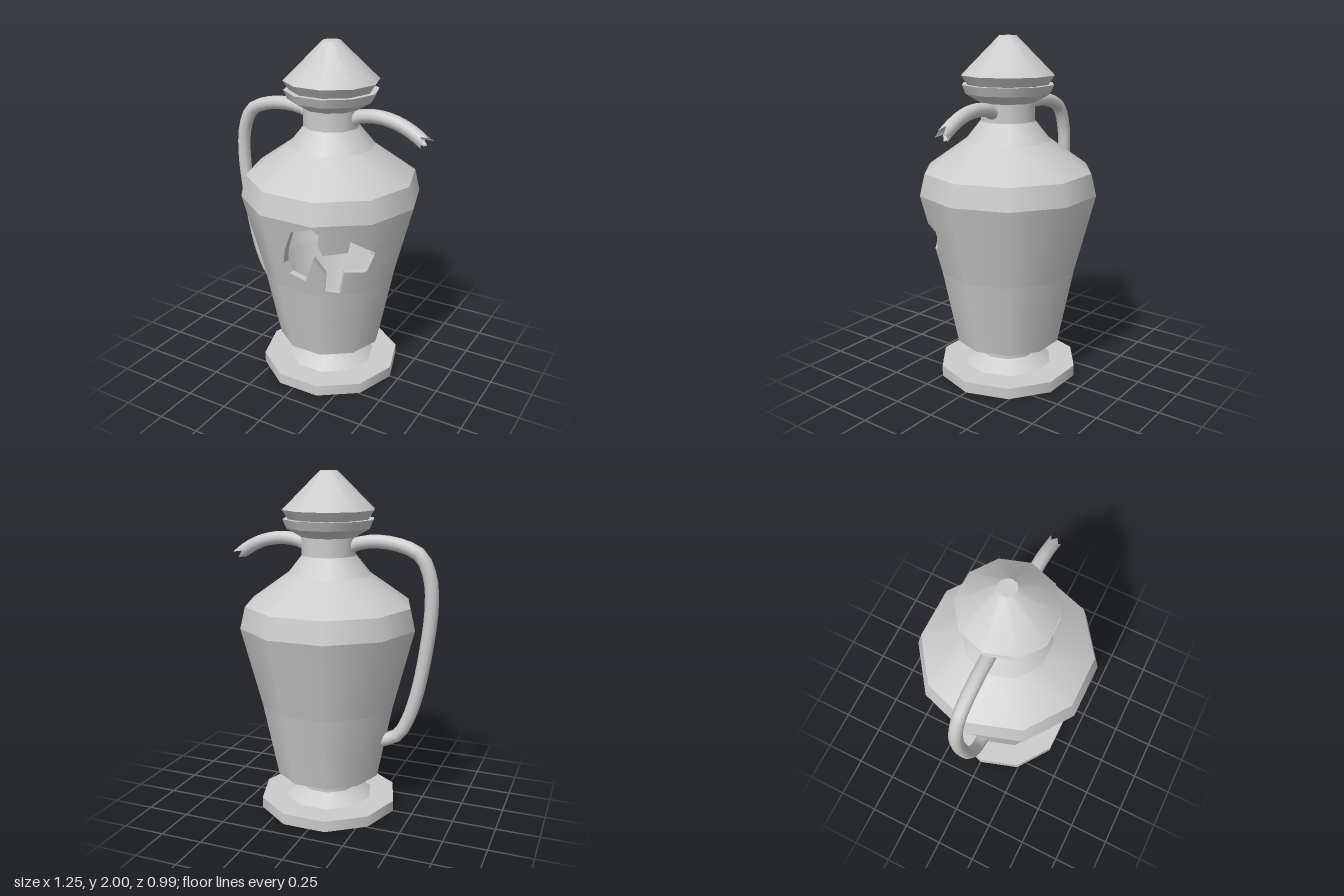
import * as THREE from 'three';
import { mergeGeometries } from 'three/addons/utils/BufferGeometryUtils.js';

const SIDES = 10;
const material = new THREE.MeshStandardMaterial({ color: 0xcccccc });
const openMaterial = new THREE.MeshStandardMaterial({ color: 0xcccccc, side: THREE.DoubleSide });

// Ten-sided turned part: smooth around, with a crease at each profile point
function turned(name, profile) {
  const bands = [];
  for (let i = 0; i + 1 < profile.length; i++) {
    const pair = [profile[i], profile[i + 1]].map(([r, y]) => new THREE.Vector2(r, y));
    bands.push(new THREE.LatheGeometry(pair, SIDES, Math.PI / 2));
  }
  const mesh = new THREE.Mesh(mergeGeometries(bands), material);
  mesh.name = name;
  return mesh;
}

// Belly band that holds the hole: a straight cone with some wall thickness
const LO = 0.66, HI = 1.125, R_LO = 0.4, R_HI = 0.52, WALL = 0.04;
const full = [[0, LO], [1, LO], [1, HI], [0, HI]];

// Wall left standing on the three broken facets (across the facet, height)
const brokenFacets = [
  [[[0, LO], [1, LO], [1, 0.915], [0.76, 0.746], [0.375, 0.772], [0.28, 0.836],
    [0.37, 0.926], [0.58, 1.06], [1, 1.11], [1, HI], [0, HI]]],
  [[[0, 1.11], [0.12, 1.07], [0.09, 1.01], [0.17, 0.935], [0.64, 0.947], [0.67, 1.02],
    [1, 0.965], [1, HI], [0, HI]],
   [[0, LO], [1, LO], [1, 0.81], [0.61, 0.815], [0.54, 0.667], [0.19, 0.688],
    [0.23, 0.804], [0, 0.915]]],
  [[[0, LO], [1, LO], [1, HI], [0, HI], [0, 0.965], [0.22, 0.925], [0.22, 0.9],
    [0.08, 0.81], [0, 0.81]]],
];

function brokenBelly() {
  const positions = [], normals = [];
  const step = (Math.PI * 2) / SIDES;
  const add = (points, norms) => points.forEach((p, i) => {
    positions.push(p.x, p.y, p.z);
    normals.push(norms[i].x, norms[i].y, norms[i].z);
  });
  for (let f = 0; f < SIDES; f++) {
    const a0 = Math.PI * 0.6 - f * step, a1 = a0 - step;
    const place = ([s, y], inset) => {
      const r = THREE.MathUtils.mapLinear(y, LO, HI, R_LO, R_HI) - inset;
      return new THREE.Vector3(
        r * THREE.MathUtils.lerp(Math.cos(a0), Math.cos(a1), s), y,
        r * THREE.MathUtils.lerp(Math.sin(a0), Math.sin(a1), s));
    };
    const normalAt = ([s], sign) => {
      const a = a0 - s * step;
      return new THREE.Vector3(Math.cos(a), -0.26, Math.sin(a)).normalize().multiplyScalar(sign);
    };
    for (const outline of brokenFacets[f] ?? [full]) {
      // Outer and inner faces
      const contour = outline.map(([s, y]) => new THREE.Vector2(s, y));
      for (const tri of THREE.ShapeUtils.triangulateShape(contour, [])) {
        const out = tri.map((i) => outline[i]);
        const inn = [...out].reverse();
        add(out.map((p) => place(p, 0)), out.map((p) => normalAt(p, 1)));
        add(inn.map((p) => place(p, WALL)), inn.map((p) => normalAt(p, -1)));
      }
      // Wall thickness along the broken edges only
      outline.forEach((p, i) => {
        const q = outline[(i + 1) % outline.length];
        const seam = (p[0] === q[0] && (p[0] === 0 || p[0] === 1)) ||
          (p[1] === q[1] && (p[1] === LO || p[1] === HI));
        if (seam) return;
        const [op, ip, iq, oq] = [place(p, 0), place(p, WALL), place(q, WALL), place(q, 0)];
        const n = ip.clone().sub(op).cross(iq.clone().sub(op)).normalize();
        add([op, ip, iq, op, iq, oq], Array(6).fill(n));
      });
    }
  }
  const geometry = new THREE.BufferGeometry();
  geometry.setAttribute('position', new THREE.Float32BufferAttribute(positions, 3));
  geometry.setAttribute('normal', new THREE.Float32BufferAttribute(normals, 3));
  const mesh = new THREE.Mesh(geometry, material);
  mesh.name = 'brokenBelly';
  return mesh;
}

// Round handle swept along a path in the x-y plane
function handle(name, points, segments) {
  const path = new THREE.CatmullRomCurve3(points.map(([x, y]) => new THREE.Vector3(x, y, 0)));
  const mesh = new THREE.Mesh(new THREE.TubeGeometry(path, segments, 0.039, 10), openMaterial);
  mesh.name = name;
  return mesh;
}

// Pull the last ring but one into splinters and close it with the last ring
function splinter(mesh, segments) {
  const pos = mesh.geometry.attributes.position;
  const path = mesh.geometry.parameters.path;
  const end = path.getPointAt(1), dir = path.getTangentAt(1);
  const spikes = [0.05, 0.0, 0.035, -0.01, 0.06, 0.0, 0.045, 0.01, 0.03, -0.01];
  for (let j = 0; j <= 10; j++) {
    const ring = (segments - 1) * 11 + j, last = segments * 11 + j;
    const p = new THREE.Vector3().fromBufferAttribute(pos, last).addScaledVector(dir, spikes[j % 10]);
    pos.setXYZ(ring, p.x, p.y, p.z);
    pos.setXYZ(last, end.x, end.y, end.z);
  }
}

export function createModel() {
  const model = new THREE.Group();
  model.name = 'brokenJar';

  // Turned parts share an axis slightly off centre
  const jar = new THREE.Group();
  jar.name = 'jar';
  jar.position.x = 0.03;
  jar.add(
    turned('foot', [[0, 0.16], [0.155, 0.16], [0.155, 0.125], [0.19, 0.09], [0.33, 0], [0.415, 0],
      [0.415, 0.065], [0.265, 0.065], [0.175, 0.13], [0.175, 0.165]]),
    turned('lowerBody', [[0.175, 0.165], [0.31, 0.215], [R_LO, LO]]),
    turned('lowerInside', [[R_LO - WALL, LO], [0.275, 0.235], [0, 0.235]]),
    brokenBelly(),
    turned('shoulderAndNeck', [[R_HI, HI], [0.49, 1.25], [0.25, 1.42], [0.16, 1.53], [0.16, 1.635],
      [0.245, 1.685], [0.267, 1.735], [0.21, 1.735], [0.125, 1.66], [0.125, 1.53], [0.21, 1.4],
      [0.45, 1.23], [R_HI - WALL, HI]]),
    turned('lid', [[0, 1.725], [0.228, 1.725], [0.27, 1.787], [0.05, 2], [0, 2]]),
  );
  model.add(jar);

  // Whole handle on one side, snapped stub on the other
  model.add(handle('wholeHandle', [[-0.1, 1.58], [-0.16, 1.605], [-0.27, 1.617], [-0.4, 1.6],
    [-0.51, 1.55], [-0.565, 1.44], [-0.581, 1.28], [-0.555, 1.0], [-0.505, 0.73],
    [-0.455, 0.58], [-0.4, 0.49], [-0.29, 0.44]], 28));
  const stub = handle('brokenHandle', [[0.16, 1.58], [0.22, 1.605], [0.32, 1.615], [0.42, 1.6],
    [0.5, 1.57], [0.57, 1.53]], 14);
  splinter(stub, 14);
  model.add(stub);
  return model;
}
